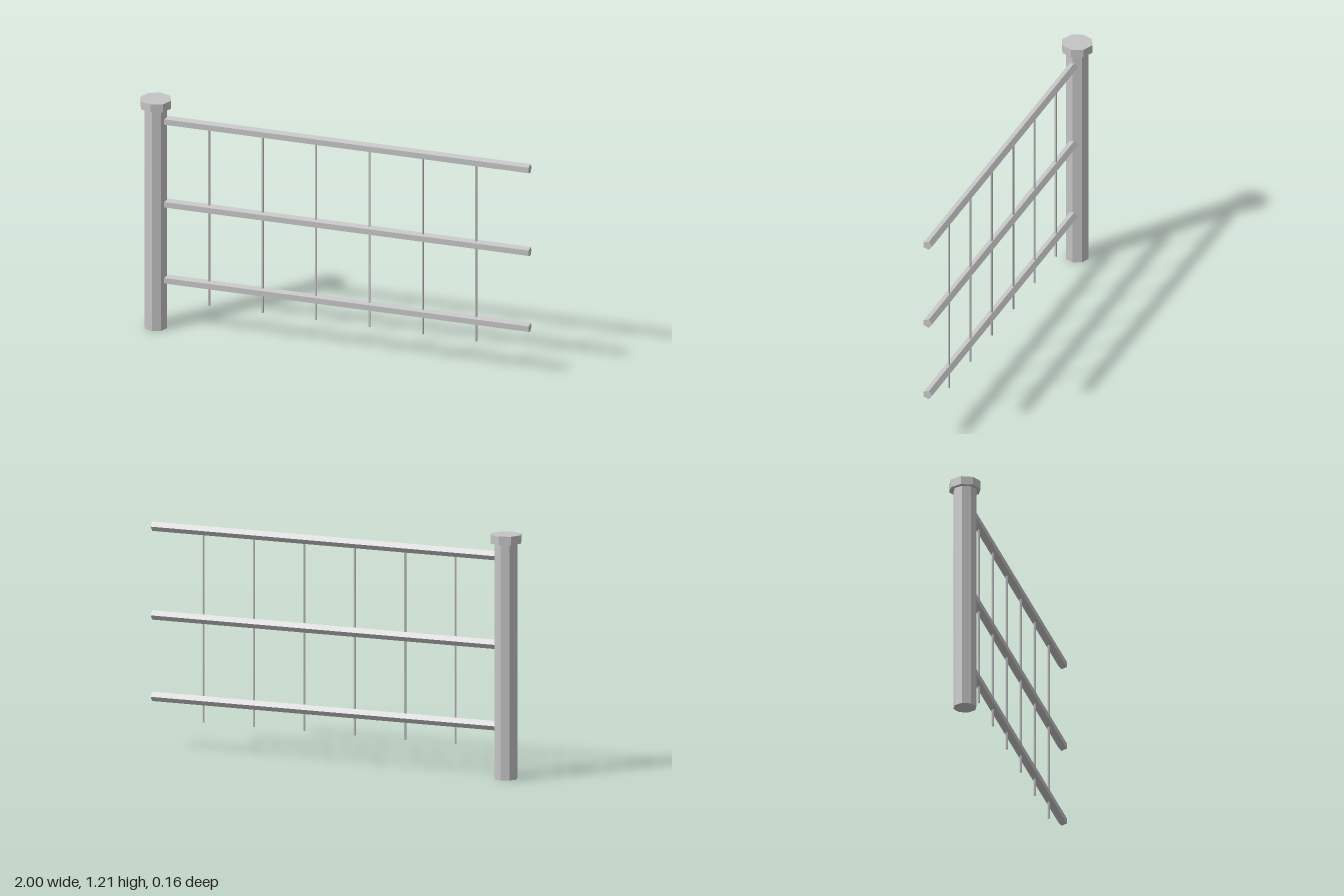
import * as THREE from 'three';

export function createModel() {
  const model = new THREE.Group();
  model.name = 'fenceSection';

  const greyMetal = new THREE.MeshStandardMaterial({ color: 0xc4c4c4 });
  greyMetal.name = 'greyMetal';

  // Faceted bar: the shared shape behind every part
  function bar(name, radius, length, sides, thetaStart = 0) {
    const faceted = new THREE.CylinderGeometry(radius, radius, length, sides, 1, false, thetaStart, Math.PI * 2).toNonIndexed();
    faceted.computeVertexNormals();
    const mesh = new THREE.Mesh(faceted, greyMetal);
    mesh.name = name;
    model.add(mesh);
    return mesh;
  }

  // Octagonal post with a wider cap
  const postX = -0.921;
  const postHeight = 1.165;
  const capHeight = 0.042;
  bar('post', 0.058, postHeight, 8).position.set(postX, postHeight / 2, 0);
  bar('postCap', 0.079, capHeight, 8).position.set(postX, postHeight + capHeight / 2, 0);

  // Three pentagonal rails, flat side to the front
  const railStart = -0.875;
  const railEnd = 1;
  [['bottomRail', 0.258], ['middleRail', 0.66], ['topRail', 1.098]].forEach(([name, y]) => {
    const rail = bar(name, 0.0245, railEnd - railStart, 5, Math.PI);
    rail.rotation.z = -Math.PI / 2;
    rail.position.set((railStart + railEnd) / 2, y, 0);
  });

  // Thin vertical pickets running from the top rail to below the bottom rail
  const picketBottom = 0.15;
  const picketTop = 1.098;
  for (let i = 0; i < 6; i++) {
    const picket = bar(`picket${i + 1}`, 0.006, picketTop - picketBottom, 5, Math.PI);
    picket.position.set(-0.647 + i * 0.2742, (picketBottom + picketTop) / 2, 0);
  }

  return model;
}
